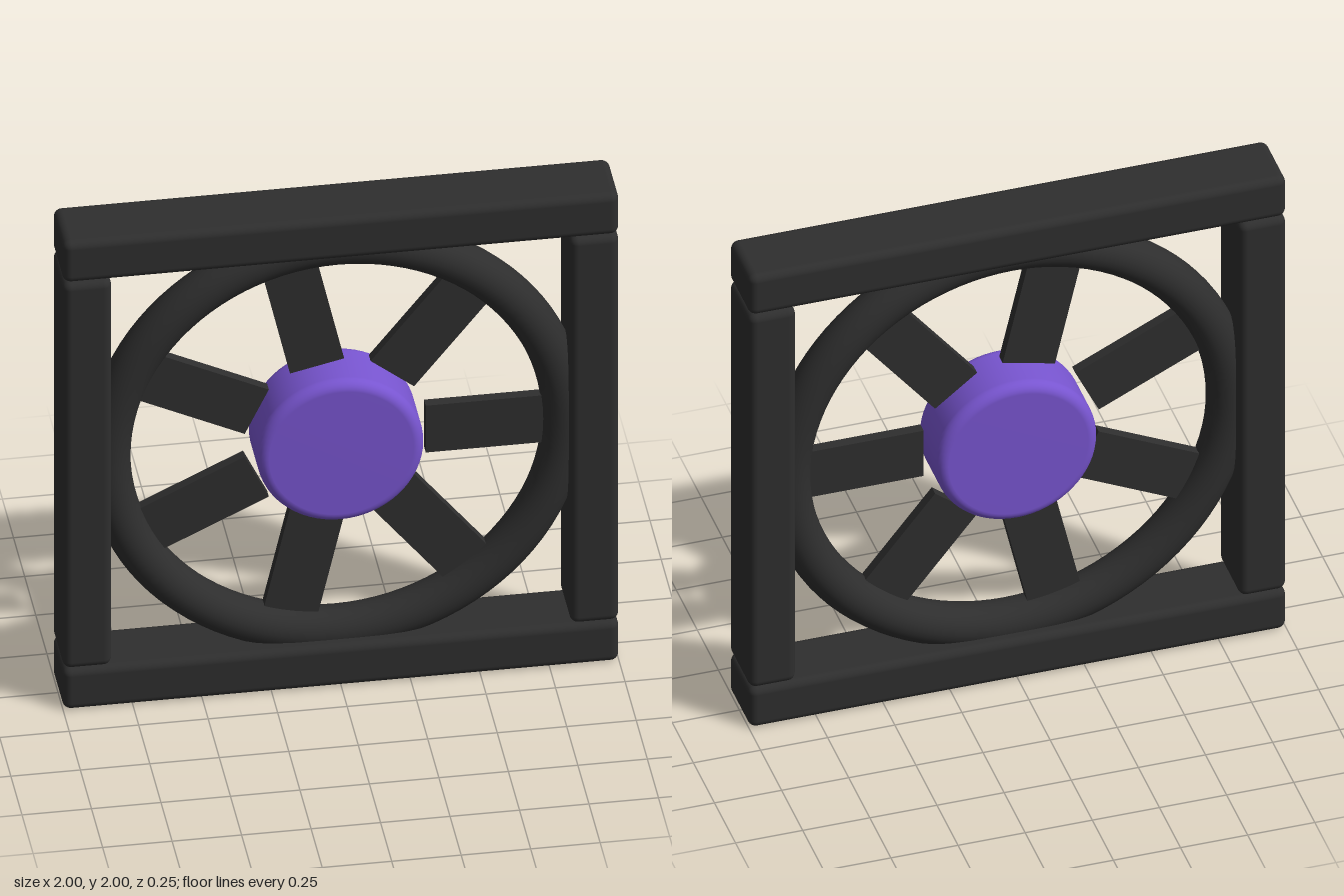
import * as THREE from 'three';
import { RoundedBoxGeometry } from 'three/addons/geometries/RoundedBoxGeometry.js';

const BAR = 0.175, DEPTH = 0.25, BLADES = 7;

export function createModel() {
  const charcoal = new THREE.MeshStandardMaterial({ color: 0x2e2e2e });
  charcoal.name = 'charcoal';
  const purple = new THREE.MeshStandardMaterial({ color: 0x7855d0 });
  purple.name = 'purple';

  const model = new THREE.Group();
  model.name = 'fan';
  const add = (name, geometry, material, parent = model) => {
    const mesh = new THREE.Mesh(geometry, material);
    mesh.name = name;
    parent.add(mesh);
    return mesh;
  };

  // Square frame of four rounded bars
  const longBar = new RoundedBoxGeometry(2, BAR, DEPTH, 4, 0.03);
  const sideBar = new RoundedBoxGeometry(BAR, 2 - 2 * BAR, DEPTH, 4, 0.03);
  const offset = 1 - BAR / 2;
  add('topBar', longBar, charcoal).position.y = 1 + offset;
  add('bottomBar', longBar, charcoal).position.y = 1 - offset;
  add('leftBar', sideBar, charcoal).position.set(offset, 1, 0);
  add('rightBar', sideBar, charcoal).position.set(-offset, 1, 0);

  // Round shroud, partly sunk into the bars
  add('ring', new THREE.TorusGeometry(0.82, 0.08, 24, 96), charcoal).position.y = 1;

  // Hub: a disc with rounded rims, turned around z
  const r = 0.3, h = DEPTH / 2, b = 0.04;
  const profile = [new THREE.Vector2(0, -h)];
  for (const side of [-1, 1]) {
    for (let i = 0; i <= 6; i++) {
      const a = (side < 0 ? i - 6 : i) / 6 * Math.PI / 2;
      profile.push(new THREE.Vector2(r - b + b * Math.cos(a), side * (h - b) + b * Math.sin(a)));
    }
  }
  profile.push(new THREE.Vector2(0, h));
  const hub = add('hub', new THREE.LatheGeometry(profile, 64), purple);
  hub.rotation.x = Math.PI / 2;
  hub.position.y = 1;

  // Flat blades reaching from near the hub into the ring
  const blades = new THREE.Group();
  blades.name = 'blades';
  blades.position.y = 1;
  model.add(blades);
  const bladeGeometry = new THREE.BoxGeometry(0.48, 0.2, 0.04).translate(0.56, 0, 0);
  for (let i = 0; i < BLADES; i++) {
    add('blade', bladeGeometry, charcoal, blades).rotation.z = i / BLADES * Math.PI * 2;
  }
  return model;
}
